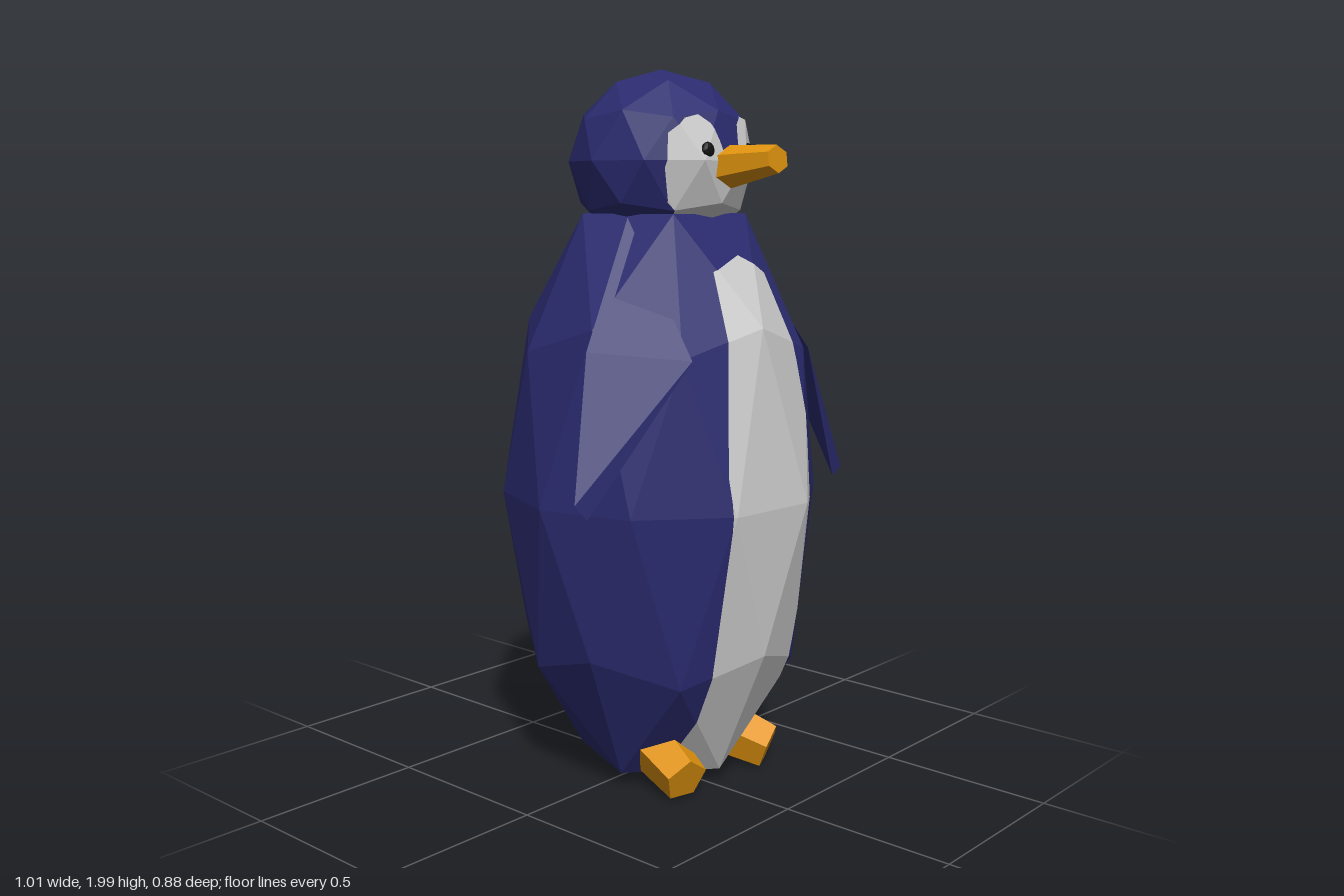
import * as THREE from 'three';
import { ConvexGeometry } from 'three/addons/geometries/ConvexGeometry.js';

const CX = 0.042; // middle of the trunk and head
const mat = (color) => new THREE.MeshStandardMaterial({ color, flatShading: true });
const navy = mat(0x2b2b70);
const white = mat(0xcccccc);
const orange = mat(0xe0930f);
const black = mat(0x111111);

function add(group, name, geometry, material, position = [0, 0, 0]) {
  const mesh = new THREE.Mesh(geometry, material);
  mesh.name = name;
  mesh.position.set(...position);
  group.add(mesh);
  return mesh;
}

// Faceted ball with a corner at each pole, stretched and flattened beyond yMin and yMax
function facetedBall(rx, ry, y, yMin = -Infinity, yMax = Infinity) {
  const g = new THREE.IcosahedronGeometry(1, 1);
  g.rotateZ(Math.atan(2 / (1 + Math.sqrt(5))));
  g.rotateY(THREE.MathUtils.degToRad(-22.5));
  g.scale(rx, ry, rx).translate(CX, y, 0);
  const p = g.attributes.position;
  for (let i = 0; i < p.count; i++) p.setY(i, THREE.MathUtils.clamp(p.getY(i), yMin, yMax));
  g.computeVertexNormals();
  return g;
}

// Keep the part of a polygon left of the line a-b, seen from the front
function clip(poly, a, b) {
  const side = (v) => (b[0] - a[0]) * (v.y - a[1]) - (b[1] - a[1]) * (v.x - a[0]);
  const out = [];
  poly.forEach((v, i) => {
    const w = poly[(i + 1) % poly.length];
    const s = side(v), t = side(w);
    if (s >= 0) out.push(v);
    if (s * t < 0) out.push(v.clone().lerp(w, s / (s - t)));
  });
  return out;
}

// Front patch of a surface inside a convex counter-clockwise outline
function frontPatch(geometry, outline, lift) {
  const p = geometry.attributes.position;
  const corners = [];
  for (let i = 0; i < p.count; i += 3) {
    let poly = [0, 1, 2].map((k) => new THREE.Vector3().fromBufferAttribute(p, i + k));
    const n = new THREE.Triangle(...poly).getNormal(new THREE.Vector3());
    if (n.z < 0.02) continue;
    outline.forEach((a, k) => { poly = clip(poly, a, outline[(k + 1) % outline.length]); });
    poly.forEach((v) => v.addScaledVector(new THREE.Vector3(0, 0, 1), lift));
    for (let k = 1; k + 1 < poly.length; k++) corners.push(poly[0], poly[k], poly[k + 1]);
  }
  const g = new THREE.BufferGeometry().setFromPoints(corners);
  g.computeVertexNormals();
  return g;
}

export function createModel() {
  const penguin = new THREE.Group();
  penguin.name = 'penguin';

  // Trunk and white belly
  const trunk = facetedBall(0.45, 0.917, 0.83, 0.05, 1.61);
  add(penguin, 'body', trunk, navy);
  const belly = [
    [-0.12, 0.04], [0.205, 0.04], [0.21, 0.42], [0.235, 0.83], [0.19, 1.21],
    [0.145, 1.45], [0.05, 1.5], [-0.065, 1.46], [-0.11, 1.15], [-0.155, 0.83], [-0.128, 0.39],
  ];
  add(penguin, 'belly', frontPatch(trunk, belly, 0.005), white);

  // Head with a two-lobed face mask
  const skull = facetedBall(0.257, 0.25, 1.75);
  add(penguin, 'head', skull, navy);
  const lobe = [
    [0.046, 1.595], [0.046, 1.72], [0.01, 1.8], [-0.002, 1.84], [-0.04, 1.87],
    [-0.08, 1.86], [-0.125, 1.82], [-0.135, 1.73], [-0.115, 1.64], [-0.08, 1.595],
  ];
  const mirrored = lobe.map(([x, y]) => [0.091 - x, y]).reverse();
  add(penguin, 'rightFaceMask', frontPatch(skull, lobe, 0.005), white);
  add(penguin, 'leftFaceMask', frontPatch(skull, mirrored, 0.005), white);

  // Eyes
  for (const [name, x, z] of [['rightEye', -0.035, 0.232], ['leftEye', 0.14, 0.228]]) {
    const eye = add(penguin, name, new THREE.IcosahedronGeometry(0.024, 1), black, [x, 1.775, z]);
    eye.scale.z = 0.6;
  }

  // Six-sided tapering beak, tilted slightly up
  const beakShape = new THREE.CylinderGeometry(0.046, 0.077, 0.19, 6);
  beakShape.rotateX(Math.PI / 2).scale(1, 0.8, 1).rotateX(-0.11);
  add(penguin, 'beak', beakShape, orange, [0.053, 1.742, 0.302]);

  // Flippers: shoulder, back root, front root, inner root and the narrow tip
  const flippers = {
    rightFlipper: [[-0.16, 1.6, 0.06], [-0.372, 1.26, 0.11], [-0.215, 1.24, 0.335],
      [-0.29, 1.2, 0.2], [-0.51, 0.89, 0.2], [-0.48, 0.85, 0.215]],
    leftFlipper: [[0.22, 1.6, 0.08], [0.425, 1.31, 0.16], [0.265, 1.24, 0.35],
      [0.34, 1.2, 0.22], [0.505, 0.865, 0.303], [0.475, 0.84, 0.295]],
  };
  for (const [name, points] of Object.entries(flippers)) {
    add(penguin, name, new ConvexGeometry(points.map((c) => new THREE.Vector3(...c))), navy);
  }

  // Stubby five-sided feet, turned outward and pitched down
  const feet = [['rightFoot', -0.128, 0.095, -0.25], ['leftFoot', 0.205, 0.085, 0.45]];
  for (const [name, x, y, yaw] of feet) {
    const g = new THREE.CylinderGeometry(0.066, 0.08, 0.14, 5);
    g.rotateX(Math.PI / 2).rotateZ(Math.PI).rotateX(0.35).rotateY(yaw);
    add(penguin, name, g, orange, [x, y, 0.195]);
  }

  return penguin;
}
